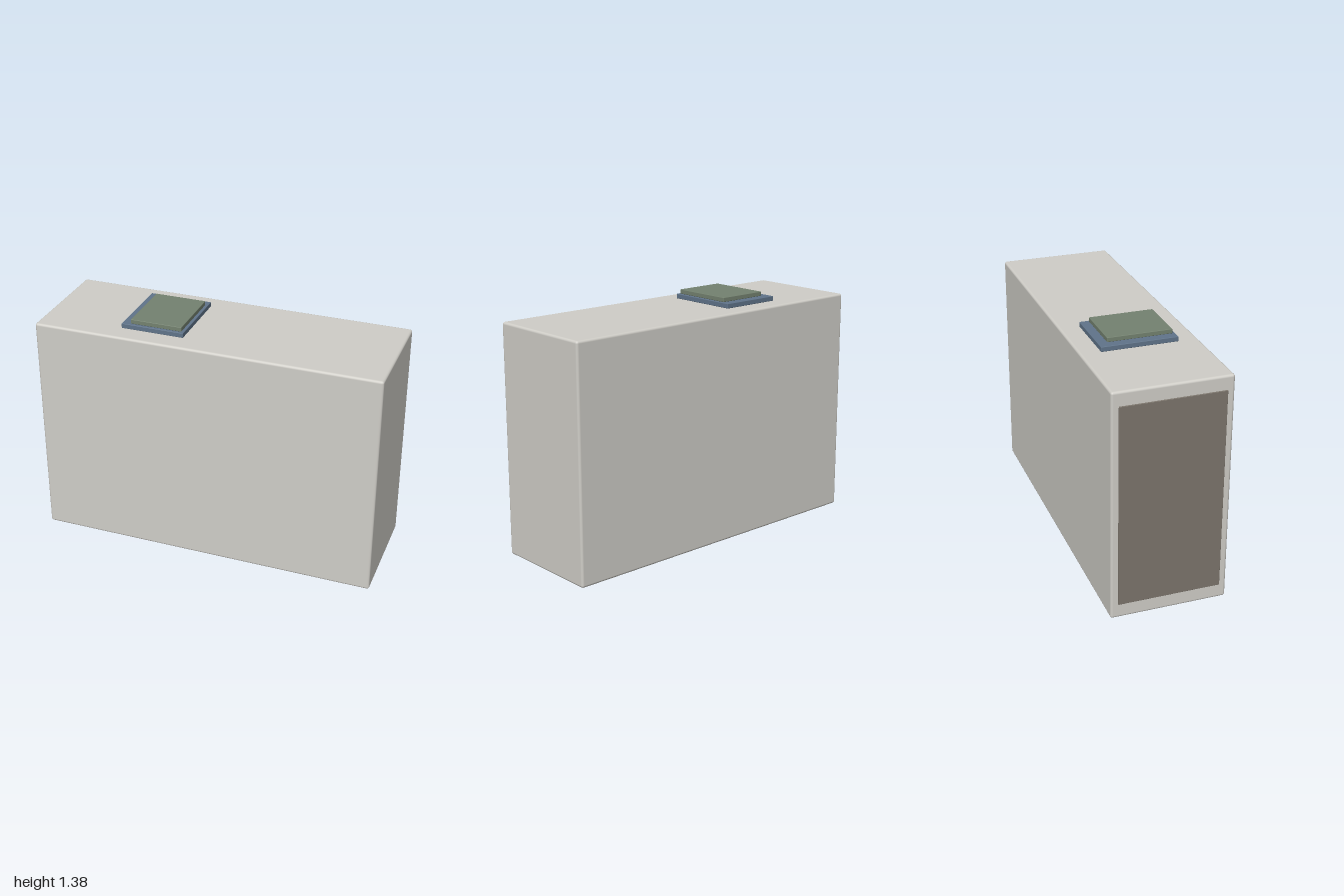
import * as THREE from 'three';
import { RoundedBoxGeometry } from 'three/addons/geometries/RoundedBoxGeometry.js';

// Bevelled block given by its [min, max] extents on each axis
function block(name, [x0, x1], [y0, y1], [z0, z1], bevel, color) {
  const geometry = new RoundedBoxGeometry(x1 - x0, y1 - y0, z1 - z0, 2, bevel);
  const mesh = new THREE.Mesh(geometry, new THREE.MeshStandardMaterial({ color }));
  mesh.position.set((x0 + x1) / 2, (y0 + y1) / 2, (z0 + z1) / 2);
  mesh.name = name;
  return mesh;
}

export function createModel() {
  const model = new THREE.Group();
  model.name = 'cabinet';

  // Main case
  model.add(block('case', [-0.993, 1], [0, 1.33], [-0.33, 0.33], 0.014, 0xd0cec8));

  // Thin dark panel on the right-hand end
  model.add(block('endPanel', [-1, -0.985], [0.085, 1.25], [-0.29, 0.29], 0.002, 0x7c756c));

  // Two stacked slabs on the top, the upper one set off-centre
  model.add(block('lowerSlab', [-0.515, -0.15], [1.33, 1.358], [-0.217, 0.215], 0.003, 0x60748a));
  model.add(block('upperSlab', [-0.465, -0.165], [1.358, 1.384], [-0.167, 0.2], 0.003, 0x748270));

  return model;
}
